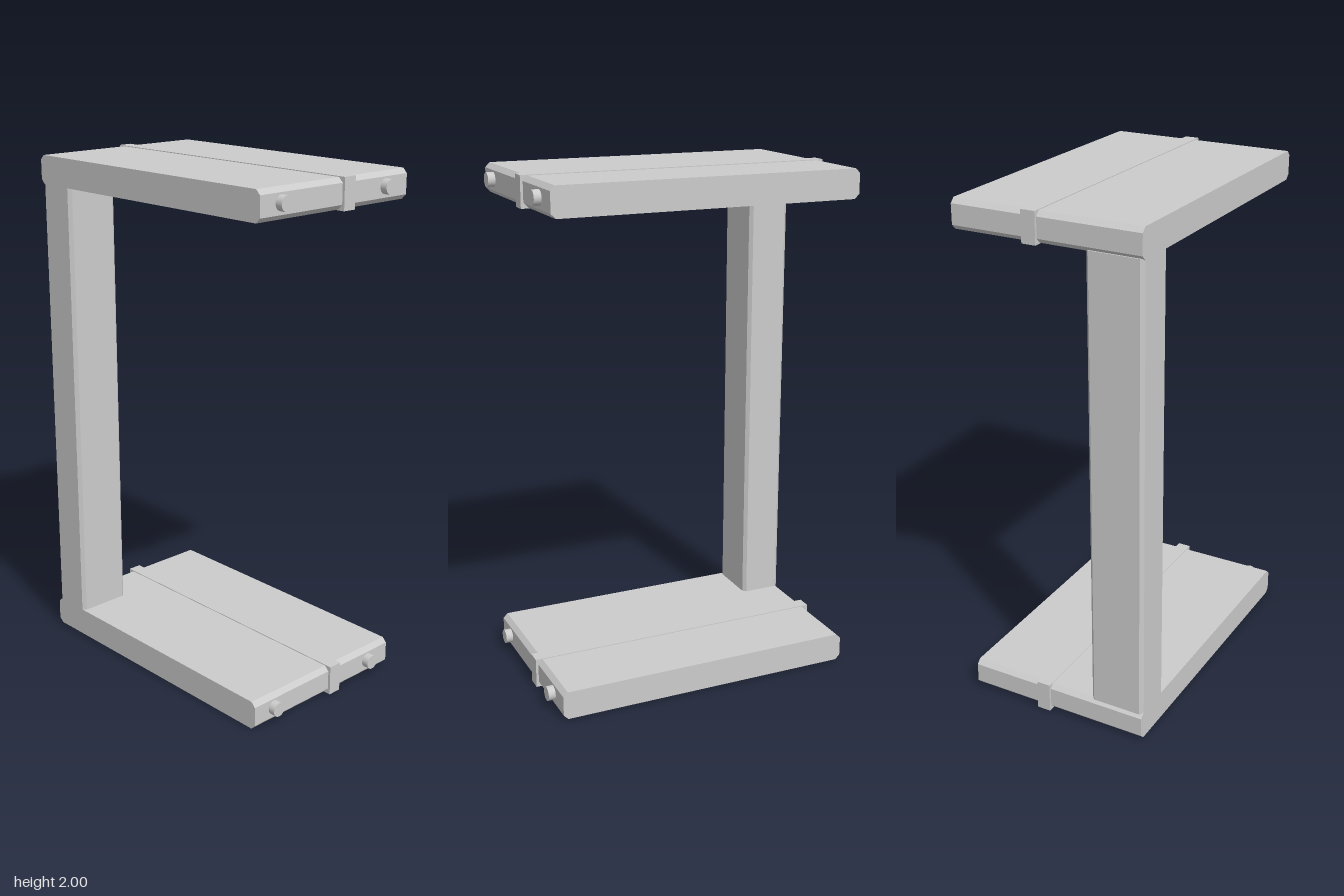
import * as THREE from 'three';

const material = new THREE.MeshStandardMaterial({ color: 0xcccccc, flatShading: true });
const smooth = new THREE.MeshStandardMaterial({ color: 0xcccccc });

// Rectangle centred on the origin with its corners cut by c
function chamferedRect(w, h, c) {
  const x = w / 2, y = h / 2;
  return new THREE.Shape([
    [-x + c, -y], [x - c, -y], [x, -y + c], [x, y - c],
    [x - c, y], [-x + c, y], [-x, y - c], [-x, -y + c],
  ].map(([px, py]) => new THREE.Vector2(px, py)));
}

// Prism centred on the origin, running along z
function chamferedBar(w, h, length, c) {
  const g = new THREE.ExtrudeGeometry(chamferedRect(w, h, c), { depth: length, bevelEnabled: false });
  return g.translate(0, 0, -length / 2);
}

function addMesh(parent, name, geometry, x, y, z, mat = material) {
  const mesh = new THREE.Mesh(geometry, mat);
  mesh.name = name;
  mesh.position.set(x, y, z);
  parent.add(mesh);
}

// Slab with a band wrapped round it and two pegs on the front edge
function createPlatform(name, y) {
  const platform = new THREE.Group();
  platform.name = name;
  platform.position.y = y;

  const slab = chamferedBar(1.2, 0.112, 0.74, 0.018).rotateY(Math.PI / 2);
  addMesh(platform, 'slab', slab, 0, 0, -0.01);
  addMesh(platform, 'band', new THREE.BoxGeometry(0.055, 0.118, 1.22), 0.055, 0, -0.01);

  for (const x of [-0.27, 0.255]) {
    const peg = new THREE.CylinderGeometry(0.028, 0.028, 0.04, 32).rotateX(Math.PI / 2);
    addMesh(platform, 'peg', peg, x, 0.003, 0.598, smooth);
  }
  return platform;
}

export function createModel() {
  const model = new THREE.Group();
  model.name = 'twoPlatformStand';

  model.add(createPlatform('lowerPlatform', 0.059));
  model.add(createPlatform('upperPlatform', 1.941));

  // Upright at the back right corner
  const column = chamferedBar(0.22, 0.167, 1.78, 0.013).rotateX(Math.PI / 2);
  addMesh(model, 'column', column, -0.26, 1, -0.519);

  return model;
}
